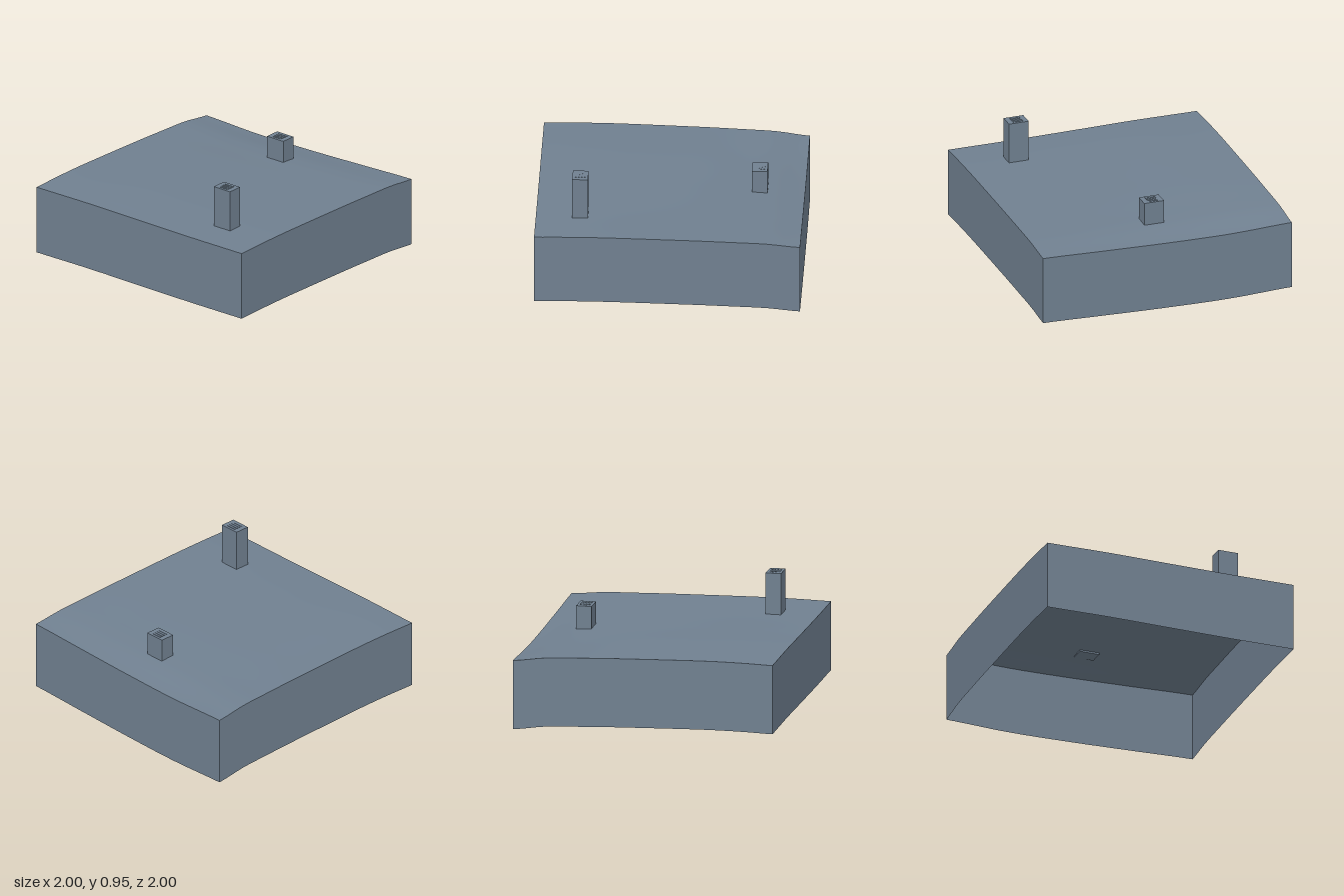
import * as THREE from 'three';

const DROP = 0.532; // height of the side walls
const SEG = 32;

// Evenly spaced values from -1 to 1 joined by a smooth curve
function ramp(values) {
  const curve = new THREE.SplineCurve(values.map((v, i) => new THREE.Vector2(i, v)));
  return (t) => curve.getPoint(THREE.MathUtils.clamp((t + 1) / 2, 0, 1)).y;
}

// Ground height: west and east edge profiles (back to front) blended across x
const west = ramp([0.62, 0.625, 0.622, 0.62, 0.623]);
const east = ramp([0.548, 0.533, 0.54, 0.556, 0.573]);
const blend = ramp([0, -0.08, -0.08, 0, 0.1, 0.21, 0.36, 0.54, 1]);
const ground = (x, z) => THREE.MathUtils.lerp(west(z), east(z), blend(x));

export function createModel() {
  const model = new THREE.Group();
  const slate = new THREE.MeshStandardMaterial({ color: 0x708090, side: THREE.DoubleSide });
  slate.name = 'slate';

  const add = (parent, name, geometry) => {
    const mesh = new THREE.Mesh(geometry, slate);
    mesh.name = name;
    parent.add(mesh);
    return mesh;
  };

  // Gently rolling top surface
  const top = new THREE.PlaneGeometry(2, 2, SEG, SEG).rotateX(-Math.PI / 2);
  const p = top.attributes.position;
  for (let i = 0; i < p.count; i++) p.setY(i, ground(p.getX(i), p.getZ(i)));
  top.computeVertexNormals();
  add(model, 'terrainTop', top);

  // Four side walls that follow the edge of the surface; the underside is open
  ['frontWall', 'leftWall', 'backWall', 'rightWall'].forEach((name, k) => {
    const wall = new THREE.PlaneGeometry(2, 1, SEG, 1).translate(0, 0, 1).rotateY(k * Math.PI / 2);
    const q = wall.attributes.position;
    for (let i = 0; i < q.count; i++) {
      const y = ground(q.getX(i), q.getZ(i));
      q.setY(i, q.getY(i) > 0 ? y : y - DROP);
    }
    add(model, name, wall);
  });

  // Two towers with narrow slats on the roof
  const tower = (name, x, z, height) => {
    const group = new THREE.Group();
    group.name = name;
    const base = ground(x, z) - 0.01;
    add(group, 'towerBody', new THREE.BoxGeometry(0.118, height - base, 0.158))
      .position.set(x, (height + base) / 2, z);
    for (let i = 0; i < 4; i++) {
      add(group, 'roofSlat', new THREE.BoxGeometry(0.012, 0.004, 0.08))
        .position.set(x + (i - 1.5) * 0.022, height + 0.001, z);
    }
    model.add(group);
  };
  tower('tallTower', -0.667, 0.581, 0.945);
  tower('shortTower', 0.662, 0, 0.76);

  return model;
}
